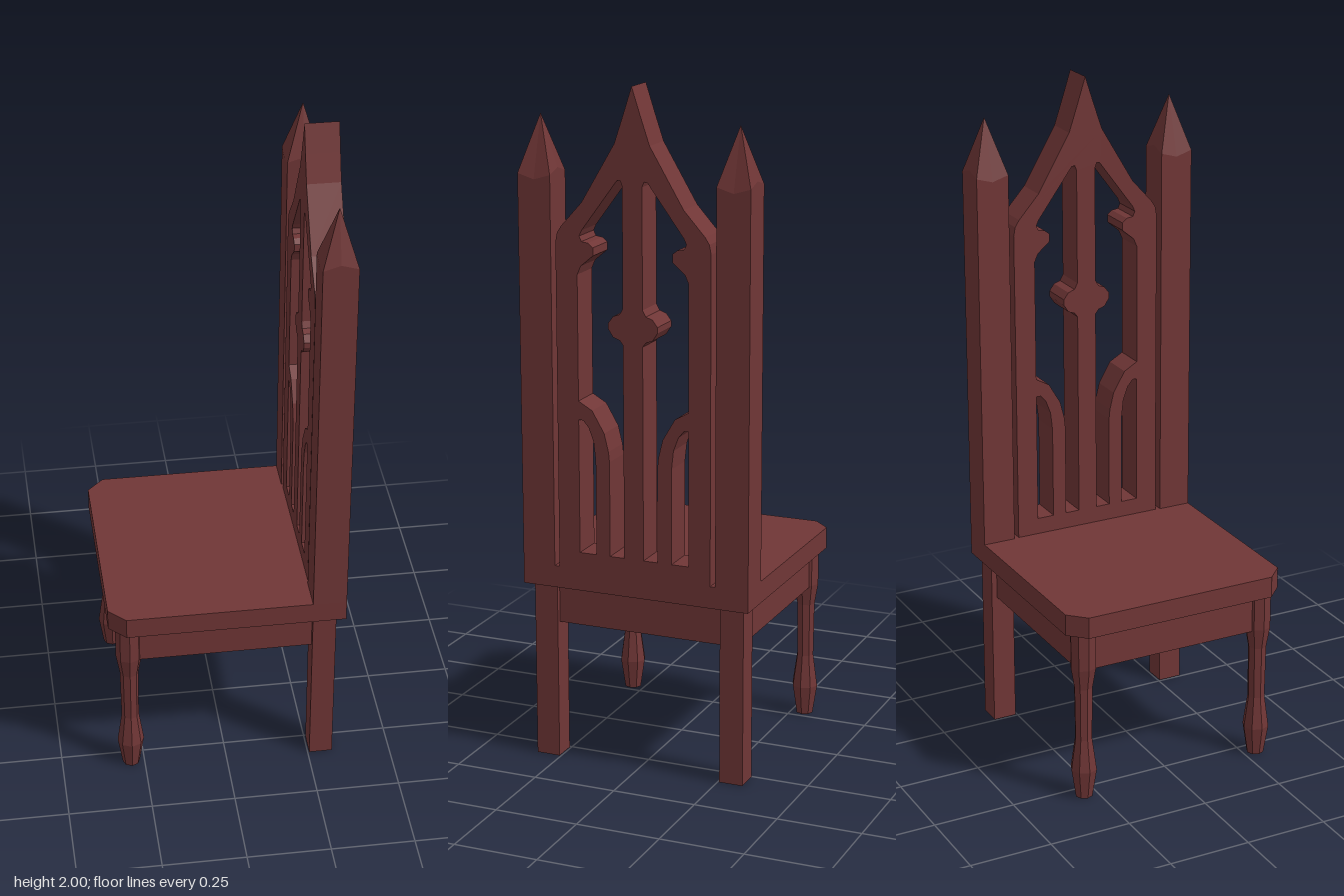
import * as THREE from 'three';

const wood = new THREE.MeshStandardMaterial({ color: 0x703636, flatShading: true });
wood.name = 'dark red wood';

const BACK_X = 0.2525, BACK_DEPTH = 0.0975;

function polygon(points, Type = THREE.Shape) {
  return new Type(points.map(([x, y]) => new THREE.Vector2(x, y)));
}

// Square post with a faceted spire, ridged along the middle of each side
function postGeometry(bottom) {
  const h = 0.05, mx = 1.725, mz = 1.755, corner = 1.74, tip = [0, 1.905, 0];
  const ring = [[h, 0, mx], [h, h, corner], [0, h, mz], [-h, h, corner],
    [-h, 0, mx], [-h, -h, corner], [0, -h, mz], [h, -h, corner]];
  const pos = [];
  ring.forEach(([x, z, y], i) => {
    const [x2, z2, y2] = ring[(i + 1) % 8];
    const a = [x, bottom, z], b = [x, y, z], c = [x2, y2, z2], d = [x2, bottom, z2];
    pos.push(...a, ...b, ...c, ...a, ...c, ...d, ...tip, ...c, ...b);
  });
  const g = new THREE.BufferGeometry();
  g.setAttribute('position', new THREE.Float32BufferAttribute(pos, 3));
  g.computeVertexNormals();
  return g;
}

// Pointed tracery panel, drawn in the z-y plane
function panelGeometry() {
  const half = [[0.235, 0.57], [0.235, 1.553], [0.23, 1.58], [0.217, 1.6], [0.154, 1.67],
    [0.053, 1.84], [0.026, 1.92]];
  const mirror = (pts) => pts.map(([x, y]) => [-x, y]);
  const shape = polygon([...half, [0, 2], ...mirror(half).reverse()]);

  const lancet = [[0.169, 0.65], [0.169, 1.045], [0.155, 1.045], [0.138, 1.025],
    [0.123, 0.985], [0.117, 0.93], [0.117, 0.65]];
  const light = [[0.03, 0.65], [0.03, 1.275], [0.04, 1.288], [0.06, 1.295], [0.075, 1.318],
    [0.075, 1.335], [0.06, 1.355], [0.04, 1.362], [0.03, 1.38], [0.03, 1.725], [0.036, 1.74],
    [0.046, 1.738], [0.154, 1.592], [0.162, 1.575], [0.155, 1.56], [0.135, 1.557],
    [0.12, 1.545], [0.12, 1.522], [0.14, 1.505], [0.158, 1.49], [0.169, 1.465],
    [0.169, 1.1], [0.127, 1.076], [0.09, 1.013], [0.077, 0.96], [0.074, 0.93], [0.074, 0.65]];
  for (const hole of [lancet, light]) {
    shape.holes.push(polygon(hole, THREE.Path), polygon(mirror(hole), THREE.Path));
  }
  return new THREE.ExtrudeGeometry(shape, { depth: BACK_DEPTH, bevelEnabled: false })
    .rotateY(Math.PI / 2);
}

export function createModel() {
  const chair = new THREE.Group();
  chair.name = 'chair';
  const add = (name, geometry, x = 0, y = 0, z = 0) => {
    const mesh = new THREE.Mesh(geometry, wood);
    mesh.name = name;
    mesh.position.set(x, y, z);
    chair.add(mesh);
    return mesh;
  };

  // Seat board with two clipped corners
  const seat = polygon([[-0.35, -0.3], [-0.3, -0.35], [0.35, -0.35], [0.35, 0.35],
    [-0.3, 0.35], [-0.35, 0.3]]);
  add('seat', new THREE.ExtrudeGeometry(seat, { depth: 0.065, bevelEnabled: false })
    .rotateX(-Math.PI / 2), 0, 0.535, 0);

  // Apron block under the seat
  add('apron', new THREE.BoxGeometry(0.62, 0.125, 0.62), 0, 0.4775, 0);

  // Backrest
  add('backPanel', panelGeometry(), BACK_X, 0, 0);

  // Turned front leg outline, foot to top
  const turned = [[0, 0], [0.026, 0], [0.04, 0.09], [0.036, 0.12], [0.026, 0.19],
    [0.028, 0.355], [0.039, 0.42], [0.039, 0.54]].map(([r, y]) => new THREE.Vector2(r, y));

  for (const [side, s] of [['left', 1], ['right', -1]]) {
    add(side + 'BackPost', postGeometry(0.54), 0.3, 0, s * 0.3);
    add(side + 'BackLeg', new THREE.BoxGeometry(0.07, 0.54, 0.072), 0.29, 0.27, s * 0.291);
    add(side + 'FrontLeg', new THREE.LatheGeometry(turned, 8), -0.29, 0, s * 0.29);
  }
  return chair;
}
